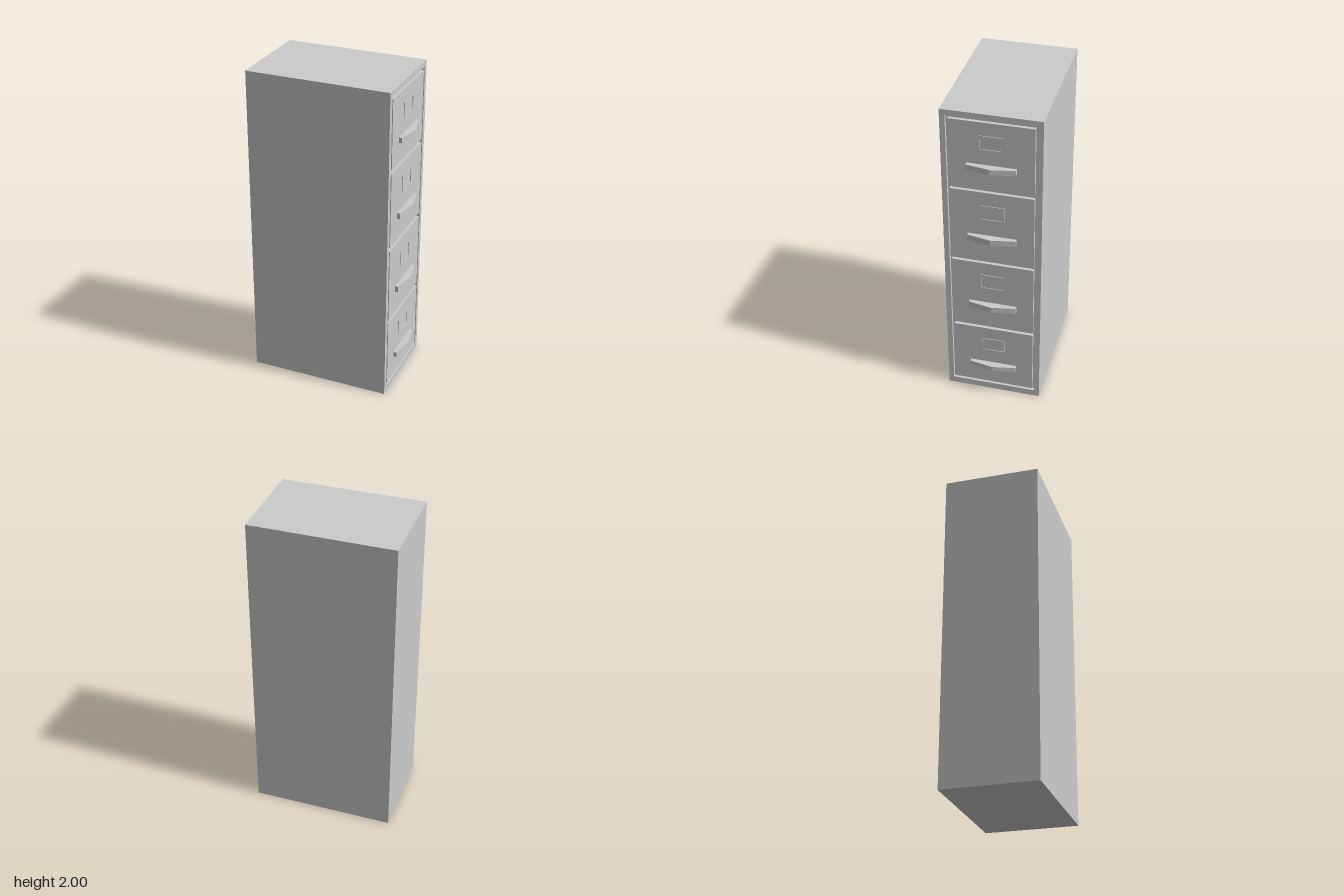
import * as THREE from 'three';

const material = new THREE.MeshStandardMaterial({ color: 0xcccccc, flatShading: true });

const BACK = -0.468, FACE = 0.42, GROOVE = 0.02, HALF = 0.294;

function addMesh(parent, name, geometry) {
  const mesh = new THREE.Mesh(geometry, material);
  mesh.name = name;
  parent.add(mesh);
  return mesh;
}

// Box given by its limits
function block(x0, x1, y0, y1, halfZ) {
  return new THREE.BoxGeometry(x1 - x0, y1 - y0, 2 * halfZ)
    .translate((x0 + x1) / 2, (y0 + y1) / 2, 0);
}

function rectPoints(half, y0, y1) {
  return [[-half, y0], [half, y0], [half, y1], [-half, y1]]
    .map(([a, b]) => new THREE.Vector2(a, b));
}

// Rectangular border facing +x, from x0 to x1
function border(x0, x1, outer, inner) {
  const shape = new THREE.Shape(rectPoints(...outer));
  shape.holes.push(new THREE.Path(rectPoints(...inner).reverse()));
  return new THREE.ExtrudeGeometry(shape, { depth: x1 - x0, bevelEnabled: false })
    .rotateY(Math.PI / 2).translate(x0, 0, 0);
}

// Solid pull, pointed in the middle
function pull(y0, y1) {
  const outline = [[FACE, -0.146], [0.44, -0.146], [0.466, 0], [0.44, 0.146], [FACE, 0.146]];
  const shape = new THREE.Shape(outline.map(([x, z]) => new THREE.Vector2(x, z)));
  return new THREE.ExtrudeGeometry(shape, { depth: y1 - y0, bevelEnabled: false })
    .rotateX(Math.PI / 2).translate(0, y1, 0);
}

export function createModel() {
  const cabinet = new THREE.Group();
  cabinet.name = 'filingCabinet';

  // Case with a shallow opening on the +x side
  addMesh(cabinet, 'caseBody', block(BACK, FACE - GROOVE, 0, 2, HALF));
  addMesh(cabinet, 'caseRim', border(FACE - GROOVE, FACE, [HALF, 0, 2], [0.262, 0.043, 1.965]));

  // Drawer, label holder and pull heights, bottom to top
  const drawers = [
    { front: [0.058, 0.492], label: [0.317, 0.41], pull: [0.19, 0.222] },
    { front: [0.513, 0.99], label: [0.804, 0.905], pull: [0.661, 0.699] },
    { front: [1.015, 1.492], label: [1.304, 1.403], pull: [1.16, 1.198] },
    { front: [1.513, 1.948], label: [1.773, 1.865], pull: [1.646, 1.679] },
  ];
  drawers.forEach((d, i) => {
    const drawer = new THREE.Group();
    drawer.name = `drawer${i + 1}`;
    cabinet.add(drawer);
    addMesh(drawer, 'drawerFront', block(FACE - GROOVE, FACE, ...d.front, 0.249));
    const [y0, y1] = d.label;
    addMesh(drawer, 'labelHolder',
      border(FACE, FACE + 0.004, [0.073, y0, y1], [0.067, y0 + 0.006, y1 - 0.006]));
    addMesh(drawer, 'pullHandle', pull(...d.pull));
  });

  return cabinet;
}
